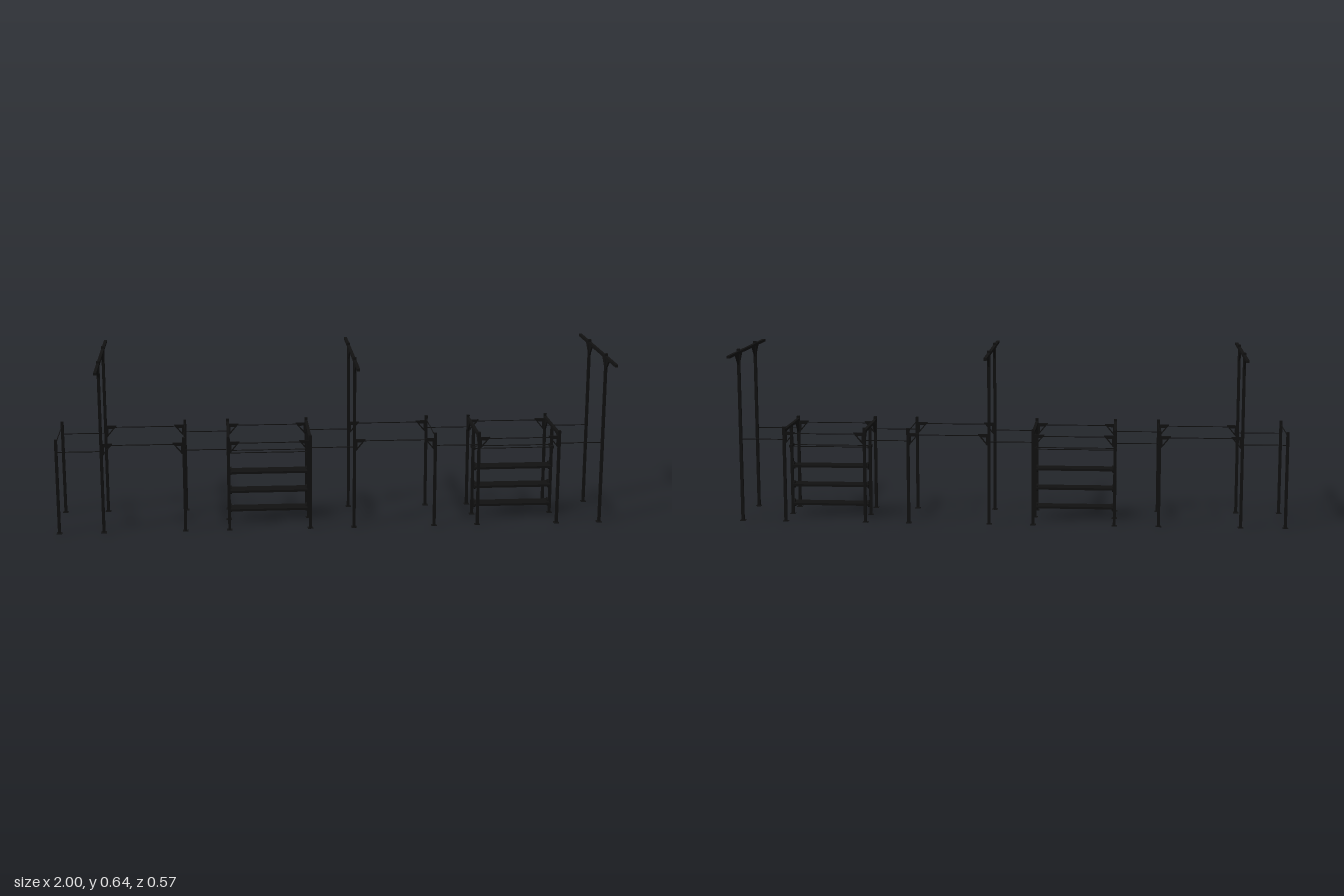
import * as THREE from 'three';

const black = new THREE.MeshStandardMaterial({ color: 0x111111 });
const Z = 0.131;      // half distance between the two rows of posts
const T = 0.0105;     // post thickness
const LOW = 0.352, TALL = 0.636;
const BAR_HIGH = 0.327, BAR_LOW = 0.305, BEAM = 0.338;

export function createModel() {
  const root = new THREE.Group();
  root.name = 'outdoorGymCourse';

  const add = (name, geo, x, y, z) => {
    const m = new THREE.Mesh(geo, black);
    m.name = name;
    m.position.set(x, y, z);
    root.add(m);
    return m;
  };
  const box = (name, w, h, d, x, y, z) => add(name, new THREE.BoxGeometry(w, h, d), x, y, z);

  // Thin round bar along x or z, centred on (x, y, z)
  const bar = (name, axis, length, x, y, z) => {
    const m = add(name, new THREE.CylinderGeometry(0.0017, 0.0017, length, 10), x, y, z);
    if (axis === 'x') m.rotation.z = Math.PI / 2;
    else m.rotation.x = Math.PI / 2;
  };

  const post = (name, x, z, height) => {
    box(name, T, height, T, x, height / 2, z);
    box('footPlate', 0.02, 0.002, 0.02, x, 0.001, z - Math.sign(z) * 0.003);
  };

  // Triangular plate whose square corner sits at the post; it points along its local +x
  const gusset = (w, h, x, y, z, turn, open = false) => {
    const s = new THREE.Shape();
    s.moveTo(0, 0);
    s.lineTo(0, -h);
    s.lineTo(0.002, -h);
    s.lineTo(w, -0.002);
    s.lineTo(w, 0);
    s.closePath();
    if (open) {
      const hole = new THREE.Path();
      hole.moveTo(0.005, -0.012);
      hole.lineTo(w * 0.62, -0.012);
      hole.lineTo(0.005, -h * 0.75);
      hole.closePath();
      s.holes.push(hole);
    }
    const g = new THREE.ExtrudeGeometry(s, { depth: 0.005, bevelEnabled: false });
    g.translate(0, 0, -0.0025);
    add('gusset', g, x, y, z).rotation.y = turn;
  };

  // Post positions: short and long bays alternate
  const xs = [-0.99];
  for (let i = 0; i < 9; i++) xs.push(xs[i] + (i % 2 ? 0.295 : 0.16));
  const tall = [1, 5, 9], beamed = [3, 4, 7, 8];

  xs.forEach((x, i) => {
    const isTall = tall.includes(i), isBeamed = beamed.includes(i);
    for (const side of [1, -1]) {
      const z = side * Z;
      post(isTall ? 'tallPost' : 'lowPost', x, z, isTall ? TALL : LOW);

      // Gussets facing into the long bays
      if (i > 0 && i < 9) {
        const right = i % 2 === 1;
        gusset(0.035, 0.042, x + (right ? 1 : -1) * T / 2, 0.333, z, right ? 0 : Math.PI, true);
      }
      // Gussets under the cross beams
      if (isTall) {
        gusset(0.043, 0.041, x, 0.619, z + T / 2, -Math.PI / 2);
        gusset(0.043, 0.041, x, 0.619, z - T / 2, Math.PI / 2);
      } else if (isBeamed) {
        gusset(0.042, 0.042, x, 0.333, z - side * T / 2, side * Math.PI / 2);
      }
      // Side bars between neighbouring posts
      if (i < 9) {
        const len = xs[i + 1] - x;
        bar('sideBar', 'x', len, x + len / 2, i % 2 ? BAR_HIGH : BAR_LOW, z);
      }
    }
    // Members across the course
    if (isTall) box('overheadBeam', T, 0.0095, 0.573, x, 0.623, 0);
    else if (isBeamed) box('crossBeam', T, 0.0095, 2 * Z, x, BEAM, 0);
    else bar('crossBar', 'z', 2 * Z, x, BEAM, 0);
  });

  // Half-round bracket; up = +1 above the step, -1 below it
  const bracket = (x, y, z, up) => {
    const s = new THREE.Shape();
    s.absarc(0, 0, 0.0115, up > 0 ? 0 : Math.PI, up > 0 ? Math.PI : 2 * Math.PI, false);
    s.closePath();
    const g = new THREE.ExtrudeGeometry(s, { depth: 0.005, bevelEnabled: false, curveSegments: 10 });
    g.translate(0, 0, -0.0025);
    add('stepBracket', g, x, y, z).rotation.y = Math.PI / 2;
  };

  // Step ladders in the middle of two long bays
  for (const i of [3, 7]) {
    const x0 = xs[i], x1 = xs[i + 1], mid = (x0 + x1) / 2, len = x1 - x0;
    for (const x of [x0, x1]) {
      const inward = Math.sign(mid - x);
      post('ladderPost', x, 0, 0.334);
      box('rungHolder', T + 0.002, 0.0095, 0.043, x, 0.26, 0);
      for (const y of [0.043, 0.114, 0.186]) {
        const bx = x + inward * (T / 2 + 0.003);
        bracket(bx, y - 0.003, 0.003, -1);
        bracket(bx, y + 0.003, -0.005, 1);
      }
    }
    for (const y of [0.043, 0.114, 0.186]) box('step', len - T, 0.008, 0.058, mid, y, 0.002);
    for (const z of [-0.018, 0.018]) bar('rung', 'x', len, mid, 0.26, z);
  }
  return root;
}
